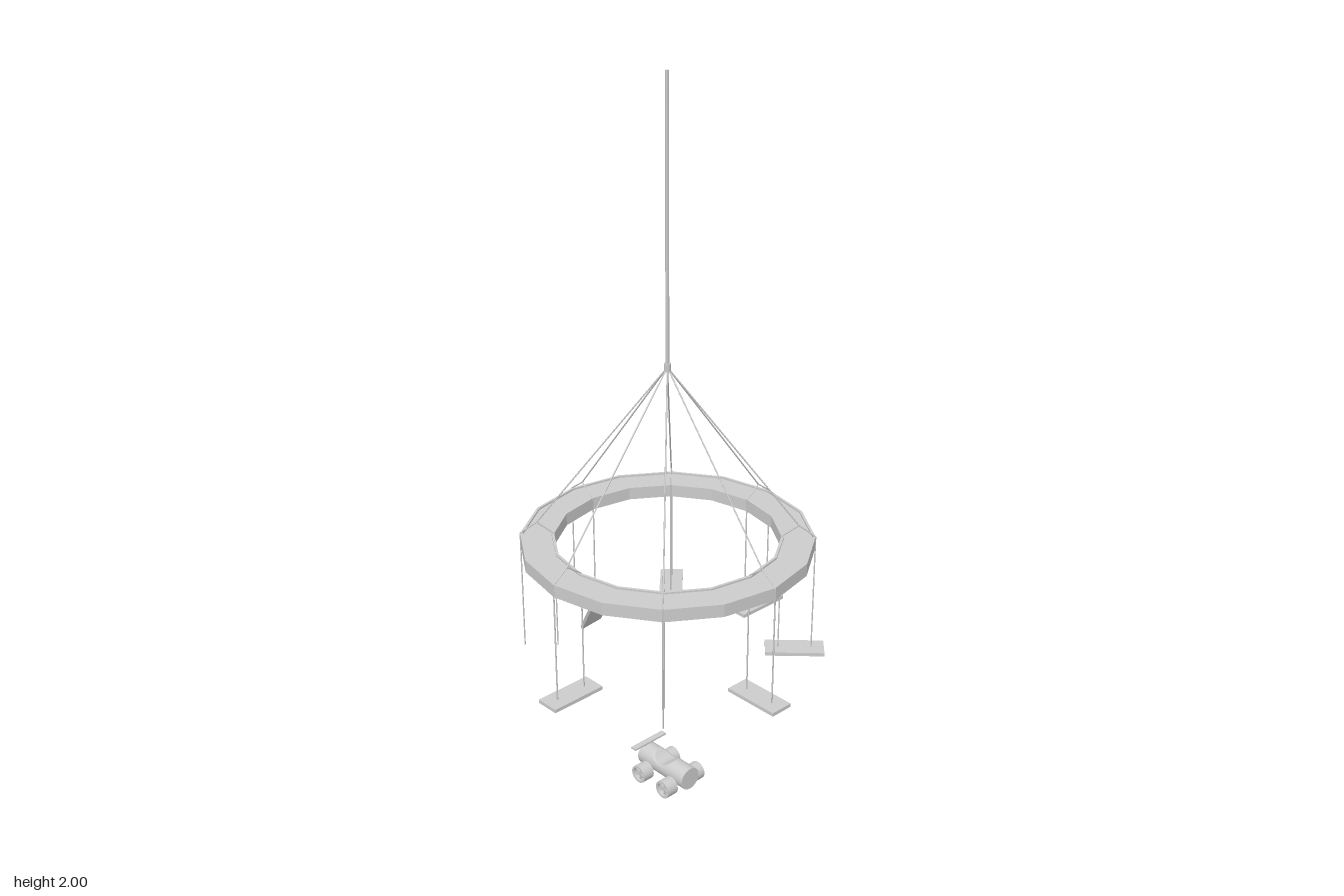
import * as THREE from 'three';

const grey = new THREE.MeshStandardMaterial({ color: 0xcccccc });
const flat = new THREE.MeshStandardMaterial({ color: 0xcccccc, flatShading: true });
const both = new THREE.MeshStandardMaterial({ color: 0xcccccc, flatShading: true, side: THREE.DoubleSide });

const R_OUT = 0.39, R_IN = 0.3, R_MID = 0.345;
const RING_TOP = 0.785, RING_LOW = 0.75, SEAT_Y = 0.442, APEX = 1.26, CENTRE_Z = -0.016;

function add(parent, name, geometry, material = flat) {
  const mesh = new THREE.Mesh(geometry, material);
  mesh.name = name;
  parent.add(mesh);
  return mesh;
}

// thin cylinder between two points
function rope(parent, name, a, b, radius = 0.002) {
  const from = new THREE.Vector3(...a), dir = new THREE.Vector3(...b).sub(from);
  const mesh = add(parent, name, new THREE.CylinderGeometry(radius, radius, dir.length(), 6), grey);
  mesh.position.copy(from).addScaledVector(dir, 0.5);
  mesh.quaternion.setFromUnitVectors(new THREE.Vector3(0, 1, 0), dir.normalize());
}

function lathe(points, segments) {
  return new THREE.LatheGeometry(points.map(p => new THREE.Vector2(...p)), segments);
}

// one swing, built along +x: bridle, long ropes and seat
function createSwing(seat) {
  const swing = new THREE.Group();
  rope(swing, 'stayRope', [R_MID, 0.818, 0], [0, APEX, 0]);
  for (const r of [R_OUT, R_IN]) {
    rope(swing, 'bridleRope', [r, RING_TOP, 0], [R_MID, 0.818, 0]);
    rope(swing, 'hangingRope', [r, RING_TOP, 0], [r, SEAT_Y, 0]);
  }
  if (seat) {
    add(swing, 'seat', new THREE.BoxGeometry(0.16, 0.01, 0.066)).position.set(R_MID, SEAT_Y, 0);
  }
  return swing;
}

function createCarousel() {
  const carousel = new THREE.Group();
  carousel.name = 'carousel';
  carousel.position.z = CENTRE_Z;

  // sixteen-sided ring with narrow raised rims
  const lip = 0.007, floor = RING_TOP - 0.005;
  add(carousel, 'ring', lathe([
    [R_OUT, RING_LOW], [R_OUT, RING_TOP], [R_OUT - lip, RING_TOP], [R_OUT - lip, floor],
    [R_IN + lip, floor], [R_IN + lip, RING_TOP], [R_IN, RING_TOP], [R_IN, RING_LOW], [R_OUT, RING_LOW],
  ], 16), both);

  // main cable and the knot that gathers the stays
  rope(carousel, 'mainCable', [0, APEX - 0.01, 0], [0, 2, 0], 0.005);
  add(carousel, 'knot', new THREE.CylinderGeometry(0.009, 0.009, 0.022, 10), grey).position.y = APEX;

  // eight swings; the back one is broken and two have lost their seats
  for (let i = 0; i < 8; i++) {
    const swing = createSwing(![2, 3, 5].includes(i));
    swing.name = 'swing' + (i + 1);
    swing.rotation.y = i * Math.PI / 4;
    carousel.add(swing);
  }

  // broken seat dangling from its inner rope
  const along = new THREE.Vector3(0.041, -0.127, -0.095).normalize();
  const across = new THREE.Vector3(0.064, 0.013, 0.009);
  across.addScaledVector(along, -across.dot(along)).normalize();
  const up = new THREE.Vector3().crossVectors(across, along);
  const broken = add(carousel, 'danglingSeat', new THREE.BoxGeometry(0.16, 0.01, 0.066));
  broken.quaternion.setFromRotationMatrix(new THREE.Matrix4().makeBasis(along, up, across));
  broken.position.set(0.0155, 0.406, -0.335 - CENTRE_Z);
  return carousel;
}

// cylinder along z whose top is scooped down for the cockpit
function createBodyGeometry() {
  const geometry = new THREE.CylinderGeometry(0.033, 0.033, 0.18, 32, 36);
  geometry.rotateX(Math.PI / 2).translate(0, 0.05, -0.015);
  const p = geometry.attributes.position;
  for (let i = 0; i < p.count; i++) {
    const t = Math.min(1, Math.abs(p.getZ(i) + 0.022) / 0.035);
    const limit = 0.062 + 0.021 * t * t;
    if (p.getY(i) > limit) p.setY(i, limit);
  }
  geometry.computeVertexNormals();
  return geometry;
}

function createCar() {
  const car = new THREE.Group();
  car.name = 'toyCar';
  add(car, 'carBody', createBodyGeometry(), grey);

  // rear wing on a small post
  add(car, 'rearWing', new THREE.BoxGeometry(0.118, 0.005, 0.018)).position.set(0, 0.091, -0.096);
  add(car, 'wingPost', new THREE.BoxGeometry(0.03, 0.016, 0.008)).position.set(0, 0.082, -0.098);

  for (const z of [0.035, -0.064]) {
    rope(car, 'axle', [-0.06, 0.026, z], [0.06, 0.026, z], 0.005);
    for (const side of [-1, 1]) {
      const wheel = new THREE.Group();
      wheel.name = 'wheel';
      wheel.position.set(side * 0.052, 0.026, z);
      wheel.rotation.z = -side * Math.PI / 2;
      // hollow tyre, recessed disc and spokes
      for (const [r0, y0, r1, y1] of [
        [0.026, -0.018, 0.026, 0.018], [0.026, 0.018, 0.02, 0.018],
        [0.02, 0.018, 0.02, 0.004], [0.02, 0.004, 0, 0.004], [0, -0.018, 0.026, -0.018],
      ]) {
        const tyre = add(wheel, 'tyre', lathe([[r0, y0], [r1, y1]], 24), both);
        tyre.castShadow = false;
      }
      for (let i = 0; i < 3; i++) {
        const spoke = add(wheel, 'spoke', new THREE.BoxGeometry(0.04, 0.006, 0.005));
        spoke.position.y = 0.008;
        spoke.rotation.y = i * Math.PI / 3;
      }
      car.add(wheel);
    }
  }
  return car;
}

export function createModel() {
  const model = new THREE.Group();
  model.name = 'swingCarousel';
  model.add(createCarousel(), createCar());
  return model;
}
